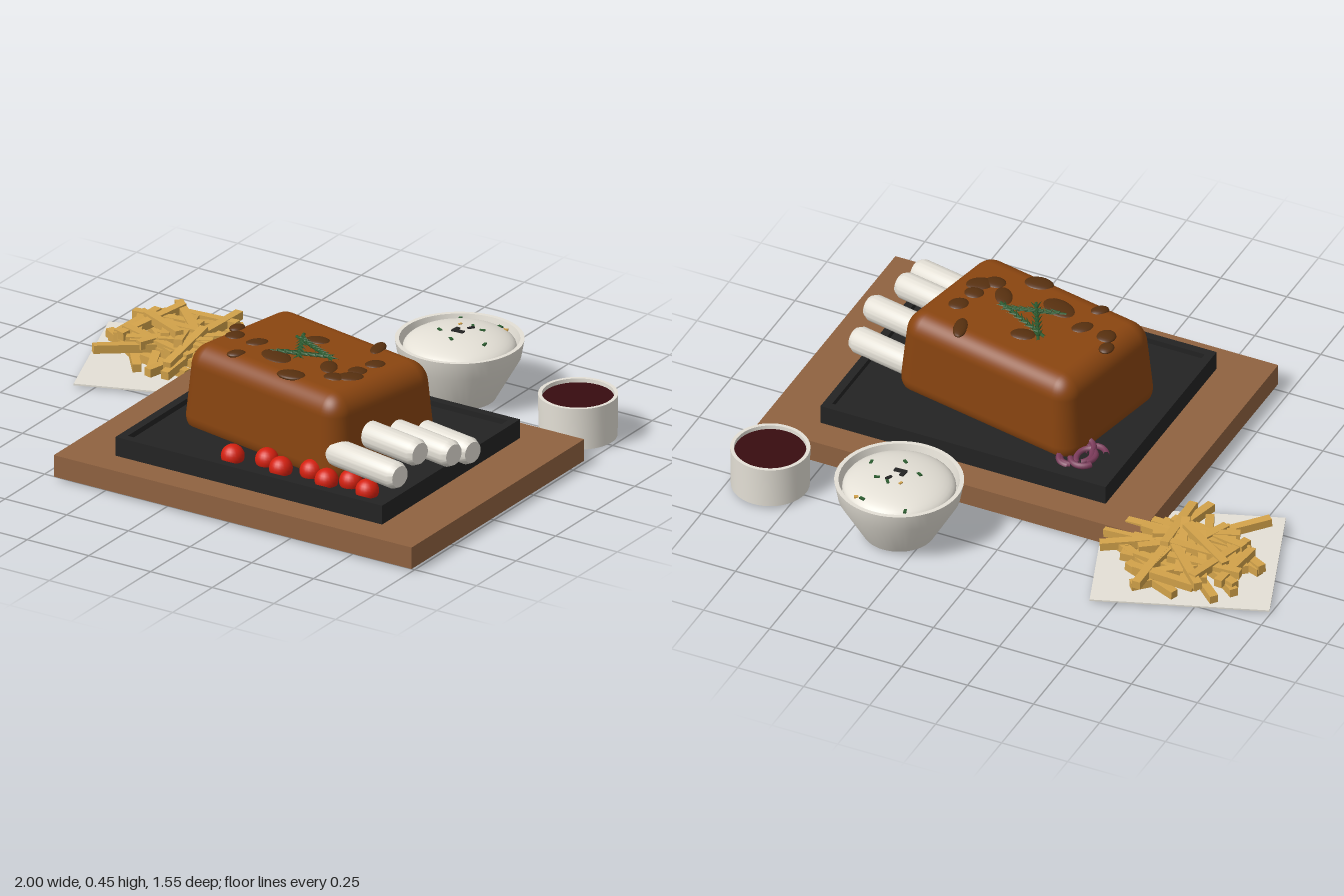
import * as THREE from 'three';
import { toCreasedNormals } from 'three/addons/utils/BufferGeometryUtils.js';
import { RoundedBoxGeometry } from 'three/addons/geometries/RoundedBoxGeometry.js';

const mat = (name, color) => {
  const m = new THREE.MeshStandardMaterial({ color });
  m.name = name;
  return m;
};

export function createModel() {
  const wood = mat('wood', 0x8f6240), slate = mat('slate', 0x232323);
  const roast = mat('roast', 0x8a4510), mushroom = mat('mushroom', 0x57300f);
  const white = mat('white', 0xe4e0d6), potato = mat('potato', 0xd2a24a);
  const wine = mat('wine', 0x380c10), red = mat('red', 0xd4200f);
  const green = mat('green', 0x2c5c30), purple = mat('purple', 0x7d3c5c);

  const root = new THREE.Group();
  const group = (name, x = 0, y = 0, z = 0) => {
    const g = new THREE.Group();
    g.name = name;
    g.position.set(x, y, z);
    root.add(g);
    return g;
  };
  const add = (parent, name, geometry, material, x = 0, y = 0, z = 0) => {
    const m = new THREE.Mesh(geometry, material);
    m.name = name;
    m.position.set(x, y, z);
    parent.add(m);
    return m;
  };
  const box = (w, h, d) => new THREE.BoxGeometry(w, h, d);
  const lathe = (pts) => toCreasedNormals(
    new THREE.LatheGeometry(pts.map(p => new THREE.Vector2(...p)), 48), 0.5);
  let seed = 11;
  const rand = (a, b) => {
    seed = (seed * 16807) % 2147483647;
    return a + (b - a) * seed / 2147483647;
  };

  // Serving board and rimmed slate tray
  add(root, 'board', box(1.45, 0.08, 1.09), wood, 0.275, 0.05, 0.225);
  const tray = group('slateTray', 0.27, 0, 0.225);
  add(tray, 'trayFloor', box(1.08, 0.05, 0.87), slate, 0, 0.115, 0);
  for (const s of [-1, 1]) {
    add(tray, 'trayRim', box(1.08, 0.02, 0.03), slate, 0, 0.15, s * 0.42);
    add(tray, 'trayRim', box(0.03, 0.02, 0.81), slate, s * 0.525, 0.15, 0);
  }

  // Roast: rounded block, slightly narrower at the top
  const roastGeo = new RoundedBoxGeometry(0.77, 0.335, 0.53, 6, 0.075);
  const rp = roastGeo.attributes.position;
  for (let i = 0; i < rp.count; i++) {
    const k = 1 - 0.08 * (rp.getY(i) / 0.335 + 0.5);
    rp.setX(i, rp.getX(i) * k);
    rp.setZ(i, rp.getZ(i) * k);
  }
  add(root, 'roast', roastGeo, roast, 0.235, 0.268, 0.22).rotation.y = -0.2;

  // Rib bones: x and z of the outer end, height of the axis
  const boneGeo = lathe([[0, -0.16], [0.038, -0.16], [0.048, -0.14],
    [0.048, 0.14], [0.038, 0.16], [0, 0.16]]);
  boneGeo.rotateZ(-Math.PI / 2);
  for (const [x, y, z] of [[0.86, 0.187, 0.165], [0.87, 0.23, 0.3],
    [0.81, 0.265, 0.42], [0.815, 0.23, 0.555]]) {
    add(root, 'ribBone', boneGeo, white, x - 0.157, y, z - 0.032).rotation.y = -0.2;
  }

  // Mushroom slices: x, z, half-length, half-width, turn
  const disc = new THREE.SphereGeometry(1, 20, 10);
  for (const [x, z, a, b, t] of [
    [-0.085, 0.18, 0.026, 0.032, 0], [-0.055, 0.24, 0.034, 0.038, 0],
    [0.04, 0.25, 0.042, 0.03, 0.9], [0.03, 0.365, 0.034, 0.025, 0.9],
    [0.205, 0.125, 0.046, 0.034, 0.2], [0.415, 0.07, 0.055, 0.025, -1.3],
    [0.48, 0.19, 0.038, 0.034, 1], [0.46, 0.27, 0.036, 0.034, 0],
    [0.285, 0.415, 0.053, 0.038, 0.1], [0.16, 0.315, 0.07, 0.045, -0.4],
    [0.36, 0.295, 0.055, 0.032, -1], [0.465, 0.325, 0.05, 0.038, 0.6],
    [0.42, 0.355, 0.04, 0.034, 0]]) {
    const m = add(root, 'mushroomSlice', disc, mushroom, x, 0.432, z);
    m.scale.set(a, 0.011, b);
    m.rotation.y = t;
  }

  // Rosemary sprigs with needles along each stem
  const needle = new THREE.ConeGeometry(0.006, 0.045, 5);
  needle.rotateX(Math.PI / 2);
  const rosemary = group('rosemary');
  for (const [x0, z0, x1, z1] of [[0.14, 0.11, 0.24, 0.3],
    [0.13, 0.14, 0.35, 0.25], [0.12, 0.29, 0.33, 0.23]]) {
    const a = new THREE.Vector3(x0, 0.437, z0), b = new THREE.Vector3(x1, 0.441, z1);
    add(rosemary, 'stem', new THREE.TubeGeometry(new THREE.LineCurve3(a, b), 4, 0.006, 6), green);
    const dir = Math.atan2(x1 - x0, z1 - z0);
    for (let i = 1; i < 8; i++) for (const s of [-1, 1]) {
      const p = a.clone().lerp(b, i / 8);
      const turn = dir + s * 0.5;
      add(rosemary, 'needle', needle, green,
        p.x + Math.sin(turn) * 0.018, 0.442, p.z + Math.cos(turn) * 0.018).rotation.y = turn;
    }
  }

  // Cherry tomatoes
  const ball = new THREE.SphereGeometry(0.041, 20, 14);
  [0.145, 0.26, 0.34, 0.44, 0.525, 0.6, 0.69].forEach((x, i) =>
    add(root, 'tomato', ball, red, x, 0.155, i % 2 ? 0.53 : 0.567));

  // Pickled onion strips
  const onion = group('onion', -0.105, 0.155, -0.06);
  const strip = new THREE.TorusGeometry(0.045, 0.011, 6, 12, 2.2);
  for (let i = 0; i < 9; i++) {
    const m = add(onion, 'onionStrip', strip, purple,
      rand(-0.035, 0.035), rand(-0.015, 0.005), rand(-0.03, 0.03));
    m.rotation.set(Math.PI / 2 + rand(-0.3, 0.3), 0, rand(0, 6.28));
  }

  // Paper sheet and heap of fries
  add(root, 'paper', box(0.617, 0.006, 0.54), white, -0.615, 0.011, -0.28).rotation.y = 0.347;
  const fries = group('fries', -0.645, 0, -0.325);
  for (let i = 0; i < 48; i++) {
    const r = 0.19 * Math.sqrt(rand(0, 1)), t = i * 2.4;
    const m = add(fries, 'fry', box(rand(0.18, 0.31), 0.03, 0.03), potato,
      Math.cos(t) * r, rand(0.04, 0.085) + (0.19 - r) * 0.24, Math.sin(t) * r);
    m.rotation.set(0, rand(0, Math.PI), rand(-0.1, 0.1), 'YXZ');
  }
  add(fries, 'lowFry', box(0.2, 0.03, 0.03), potato, 0.02, 0.025, -0.1).rotation.z = 0.1;

  // Bowl of mash with herb flakes
  const bowl = group('bowl', 0.345, 0, -0.555);
  add(bowl, 'bowlShell', lathe([[0, 0.01], [0.125, 0.01], [0.21, 0.16], [0.222, 0.225],
    [0.207, 0.225], [0.195, 0.17], [0, 0.17]]), white);
  const mash = add(bowl, 'mash',
    new THREE.SphereGeometry(1, 40, 12, 0, Math.PI * 2, 0, Math.PI / 2), white, 0, 0.195, 0);
  mash.scale.set(0.195, 0.058, 0.195);
  const flake = (x, z, w, d, material) => {
    const y = 0.195 + 0.058 * Math.sqrt(1 - (x * x + z * z) / 0.038);
    add(bowl, 'herbFlake', box(w, 0.007, d), material, x, y, z).rotation.y = rand(0, 3);
  };
  flake(0, 0.01, 0.045, 0.018, slate);
  flake(-0.015, 0, 0.03, 0.016, slate);
  flake(0.02, -0.04, 0.025, 0.012, slate);
  for (const [x, z] of [[-0.095, -0.15], [0.065, -0.155], [0.06, -0.05], [0.015, -0.06],
    [-0.065, 0.025], [0.01, 0.07], [0.12, 0.03]]) flake(x, z, 0.02, 0.01, green);
  flake(0.09, -0.15, 0.016, 0.01, potato);
  flake(-0.03, -0.05, 0.014, 0.008, potato);

  // Sauce cup
  const cup = group('sauceCup', 0.86, 0, -0.5);
  add(cup, 'cupShell', lathe([[0, 0.01], [0.135, 0.01], [0.137, 0.162], [0.124, 0.162],
    [0.122, 0.12], [0, 0.12]]), white);
  add(cup, 'sauce', new THREE.CylinderGeometry(0.1235, 0.1235, 0.03, 40), wine, 0, 0.133, 0);

  return root;
}
